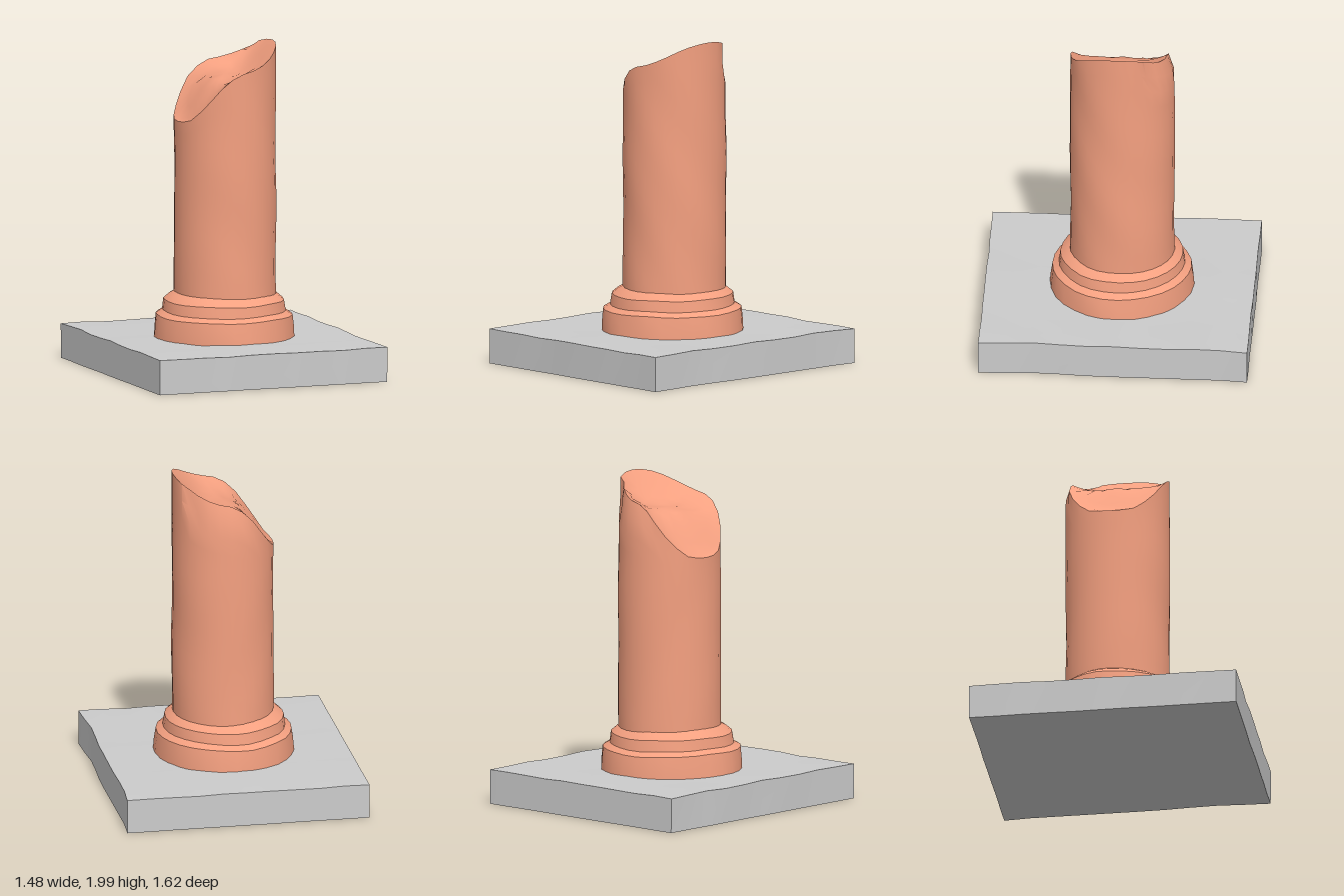
import * as THREE from 'three';
import { toCreasedNormals } from 'three/addons/utils/BufferGeometryUtils.js';

const stone = new THREE.MeshStandardMaterial({ color: 0xcccccc });
const clay = new THREE.MeshStandardMaterial({ color: 0xf4a080 });

// Smooth, repeatable weathering for any point, about -1..1
const wear = (x, y, z) =>
  (Math.sin(9 * x + 5 * y + 1) + Math.sin(11 * z - 8 * y + 2) + Math.sin(17 * x - 13 * z + 11 * y)) / 3;

// Height of the broken edge across x
const breakLine = [[-0.32, 1.52], [-0.28, 1.54], [-0.2, 1.66], [-0.1, 1.8], [0, 1.85], [0.1, 1.87], [0.2, 1.92], [0.32, 2.0]];
function breakHeight(x) {
  let i = 1;
  while (i < breakLine.length - 1 && x > breakLine[i][0]) i++;
  const [x0, y0] = breakLine[i - 1], [x1, y1] = breakLine[i];
  return y0 + (y1 - y0) * THREE.MathUtils.clamp((x - x0) / (x1 - x0), 0, 1);
}

// Move every vertex by a rule that edits the vector in place
function reshape(geometry, rule) {
  const p = geometry.attributes.position, v = new THREE.Vector3();
  for (let i = 0; i < p.count; i++) {
    v.fromBufferAttribute(p, i);
    rule(v);
    p.setXYZ(i, v.x, v.y, v.z);
  }
  return geometry;
}

function part(name, geometry, material, crease) {
  const mesh = new THREE.Mesh(toCreasedNormals(geometry, crease), material);
  mesh.name = name;
  return mesh;
}

const lathe = (points) => new THREE.LatheGeometry(points.map(([r, y]) => new THREE.Vector2(r, y)), 28);

export function createModel() {
  const model = new THREE.Group();
  model.name = 'brokenColumn';

  // Square slab with worn top and sides
  const slab = reshape(new THREE.BoxGeometry(1.48, 0.21, 1.62, 10, 1, 10), (v) => {
    const w = wear(v.x, v.y, v.z);
    const onRight = v.x > 0.73, onLeft = v.x < -0.73;
    if (v.y > 0) v.y += 0.006 * w;
    if (onRight) v.x -= 0.012 + 0.018 * Math.exp(-(((v.z - 0.45) / 0.2) ** 2)) - (v.z < -0.7 ? 0.012 : 0);
    if (onLeft) v.x += 0.004 * w;
    if (Math.abs(v.z) > 0.8) v.z -= Math.sign(v.z) * 0.005 * Math.abs(w);
    v.x -= 0.005;
    v.y += 0.11;
  });
  model.add(part('slab', slab, stone, 0.7));

  // Two-step round foot of the column
  const foot = reshape(lathe([
    [0.425, 0.19], [0.42, 0.27], [0.41, 0.345], [0.37, 0.37], [0.36, 0.435], [0.325, 0.465], [0.29, 0.485],
  ]), (v) => {
    const k = 1 + 0.015 * wear(v.x, v.y, v.z);
    v.set(v.x * k - 0.01, v.y + 0.006 * wear(v.z, v.y, v.x), v.z * k * 1.02 - 0.01);
  });
  model.add(part('foot', foot, clay, 0.6));

  // Shaft whose rows stretch up to the slanted break (y runs 0..1)
  const rows = Array.from({ length: 15 }, (_, i) => [0.305, i / 14]);
  const rim = (v) => breakHeight(v.x) + 0.012 * Math.sin(14 * v.z + 1) * (1 - Math.abs(v.x) / 0.31);
  const weather = (v) => {
    const k = 1 + 0.014 * wear(v.x, v.y, v.z);
    v.x = v.x * k;
    v.z = v.z * k * 1.03 - 0.015;
    // Chipped upper back edge
    if (v.z < -0.2) v.z += 0.05 * THREE.MathUtils.smoothstep(v.y, 1.7, 1.9);
  };
  const shaft = reshape(lathe(rows), (v) => {
    v.y = 0.45 + (rim(v) - 0.45) * v.y;
    weather(v);
  });
  model.add(part('shaft', shaft, clay, 0.9));

  // Hollowed broken face, in rings from the rim to the middle
  const rings = [0.305, 0.27, 0.22, 0.15, 0.08, 0].map((r) => [r, 0]);
  const face = reshape(lathe(rings), (v) => {
    const r = Math.hypot(v.x, v.z) / 0.305;
    v.y = rim(v) - 0.06 * (1 - r * r) * (1 + 0.3 * Math.sin(12 * v.x + 9 * v.z));
    weather(v);
  });
  model.add(part('brokenFace', face, clay, 0.7));

  return model;
}
